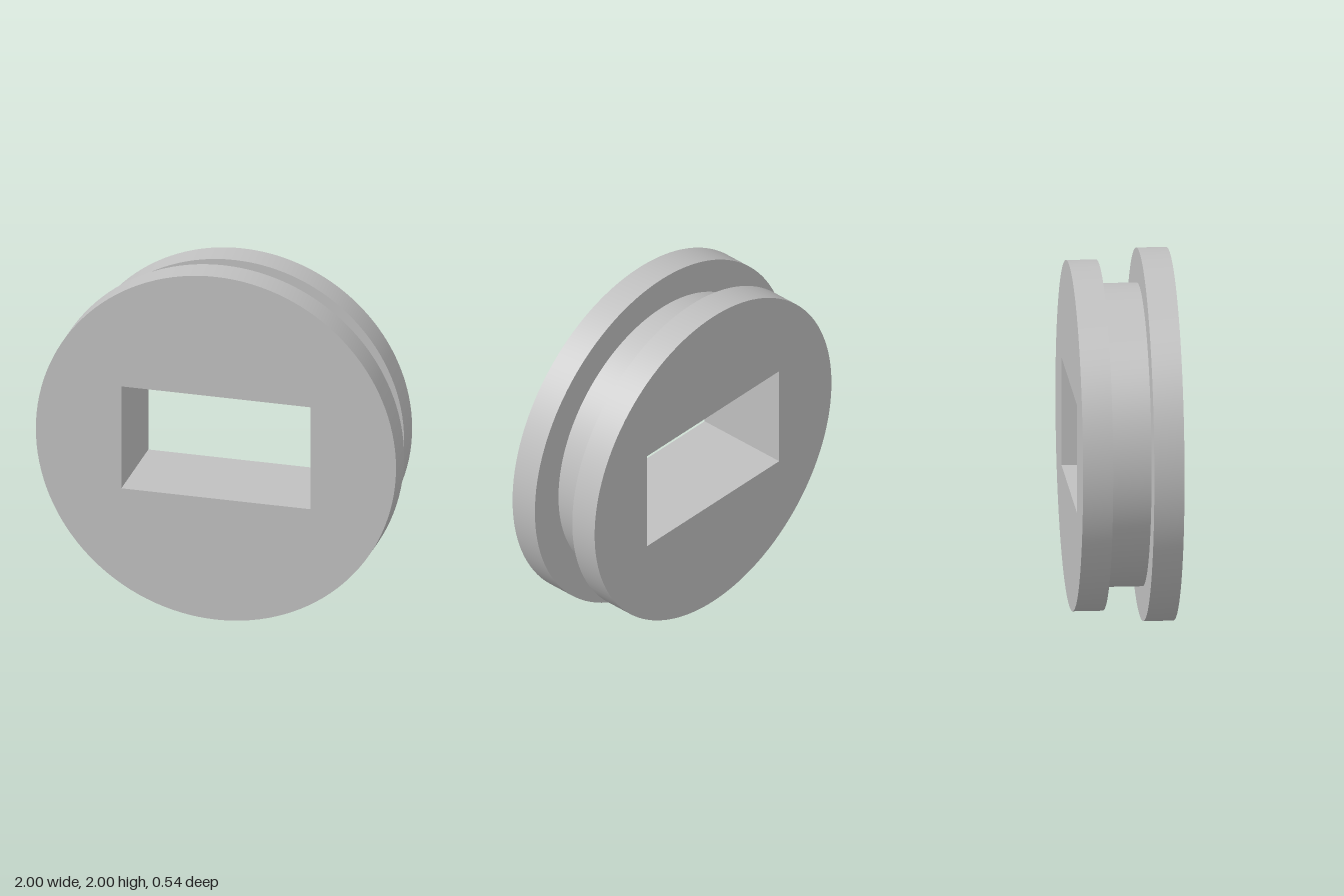
import * as THREE from 'three';
import { toCreasedNormals } from 'three/addons/utils/BufferGeometryUtils.js';

// Grooved round plug with a rectangular opening through it, axis along z.
const HOLE = { halfWidth: 0.525, bottom: -0.295, top: 0.3 };

function disc(name, radius, zBack, zFront, material) {
  const shape = new THREE.Shape();
  shape.absarc(0, 0, radius, 0, Math.PI * 2, false);

  // rectangular opening
  const { halfWidth: w, bottom, top } = HOLE;
  shape.holes.push(new THREE.Path([
    new THREE.Vector2(-w, bottom),
    new THREE.Vector2(-w, top),
    new THREE.Vector2(w, top),
    new THREE.Vector2(w, bottom),
  ]));

  const geometry = new THREE.ExtrudeGeometry(shape, {
    depth: zFront - zBack, bevelEnabled: false, curveSegments: 64,
  });
  const mesh = new THREE.Mesh(toCreasedNormals(geometry, 0.5), material);
  mesh.name = name;
  mesh.position.set(0, 1, zBack);
  return mesh;
}

export function createModel() {
  const grey = new THREE.MeshStandardMaterial({ color: 0xc0c0c0 });
  grey.name = 'light grey';

  const group = new THREE.Group();
  group.name = 'groovedPlug';
  group.add(
    disc('frontFlange', 1, 0.108, 0.27, grey),
    disc('grooveCore', 0.813, -0.108, 0.108, grey),
    disc('backFlange', 0.94, -0.27, -0.108, grey),
  );
  return group;
}
